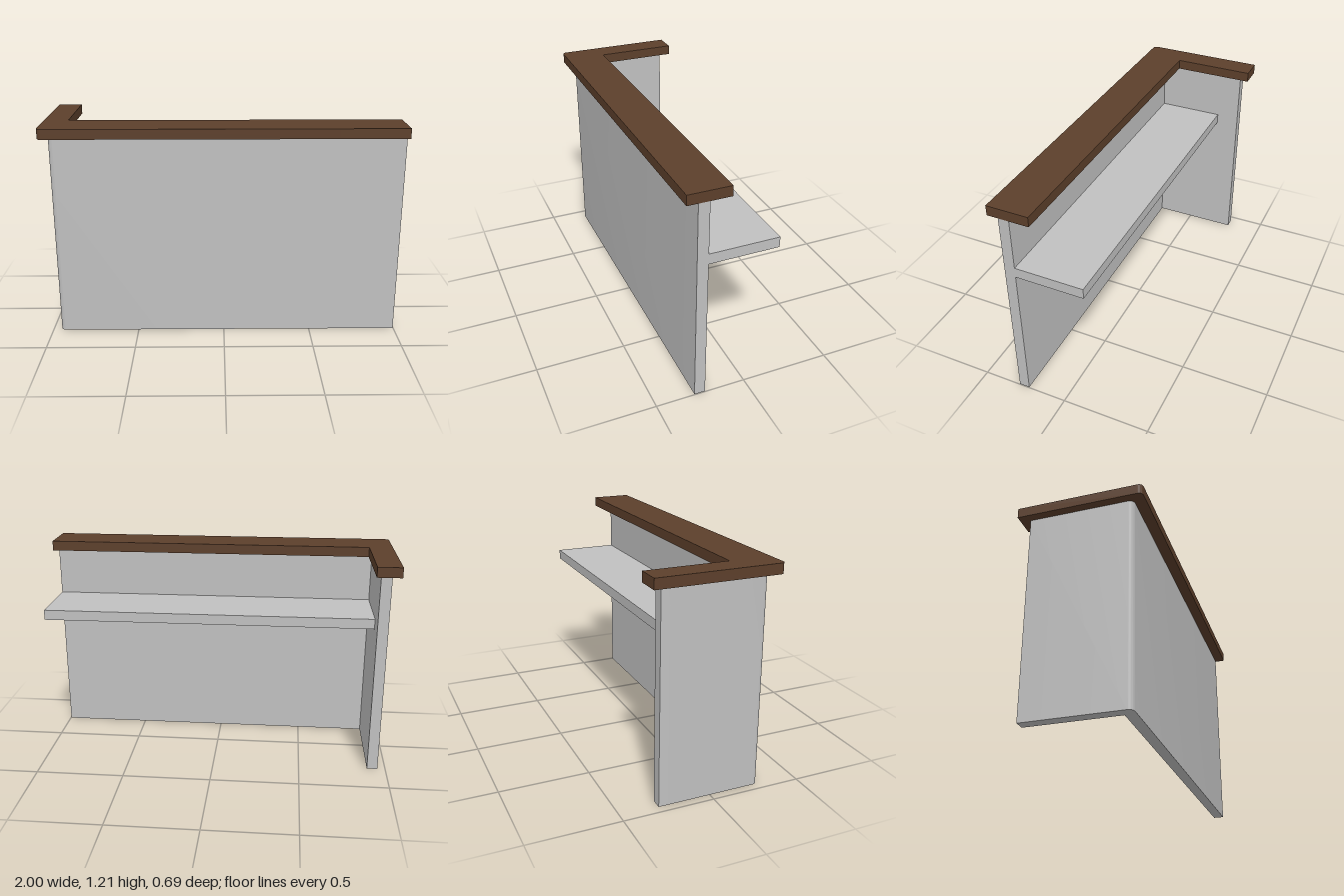
import * as THREE from 'three';
import { toCreasedNormals } from 'three/addons/utils/BufferGeometryUtils.js';

const panelGrey = new THREE.MeshStandardMaterial({ color: 0xc0c0c0 });
panelGrey.name = 'panelGrey';
const darkWood = new THREE.MeshStandardMaterial({ color: 0x5c3f2b });
darkWood.name = 'darkWood';

// L-shaped plan with a rounded outer front corner, extruded upward.
// left/right are x limits, front/back are z limits, inX/inZ the inner corner.
function lSlab(name, material, { left, right, front, back, inX, inZ, radius, y0, y1 }) {
  const s = new THREE.Shape();
  s.moveTo(left + radius, -front);
  s.lineTo(right, -front);
  s.lineTo(right, -inZ);
  s.lineTo(inX, -inZ);
  s.lineTo(inX, -back);
  s.lineTo(left, -back);
  s.lineTo(left, -front + radius);
  s.absarc(left + radius, -front + radius, radius, Math.PI, Math.PI * 1.5, false);
  const geo = new THREE.ExtrudeGeometry(s, { depth: y1 - y0, bevelEnabled: false, curveSegments: 6 });
  geo.rotateX(-Math.PI / 2);
  geo.translate(0, y0, 0);
  const mesh = new THREE.Mesh(toCreasedNormals(geo, 0.6), material);
  mesh.name = name;
  return mesh;
}

export function createModel() {
  const desk = new THREE.Group();
  desk.name = 'receptionDesk';

  // Front panel and return panel
  desk.add(lSlab('walls', panelGrey, {
    left: -0.955, right: 0.997, front: 0.285, back: -0.29,
    inX: -0.895, inZ: 0.225, radius: 0.03, y0: 0, y1: 1.158,
  }));

  // Overhanging countertop
  desk.add(lSlab('countertop', darkWood, {
    left: -1, right: 1, front: 0.345, back: -0.345,
    inX: -0.865, inZ: 0.113, radius: 0.025, y0: 1.158, y1: 1.214,
  }));

  // Work shelf between the return panel and the open end
  const shelf = new THREE.Mesh(new THREE.BoxGeometry(1.892, 0.058, 0.382), panelGrey);
  shelf.name = 'workShelf';
  shelf.position.set(0.051, 0.839, 0.034);
  desk.add(shelf);

  return desk;
}
